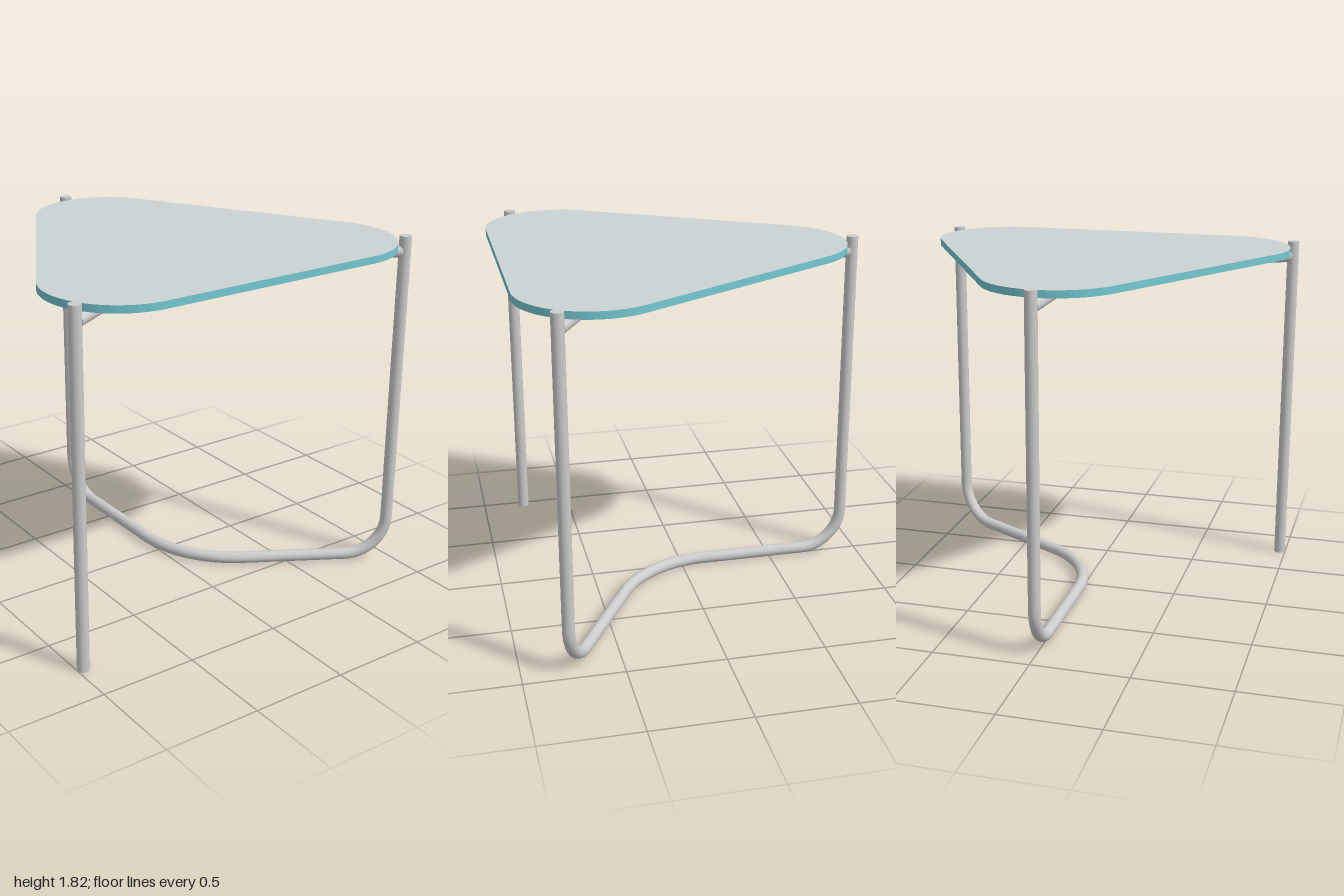
import * as THREE from 'three';
import { mergeGeometries, toCreasedNormals } from 'three/addons/utils/BufferGeometryUtils.js';

const R = 0.031;          // tube radius
const TOP = 1.815;        // height of the legs
const BAR = 1.733;        // height of the support bars
const CZ = 0.21;          // z of the triangle's centre
const V = (x, y, z) => new THREE.Vector3(x, y, z);

// Point at a distance from the table's centre along one of three spokes (0 back, 1 left, 2 right)
function spoke(i, d, y) {
  const a = (i * Math.PI * 2) / 3;
  return V(Math.sin(a) * d, y, CZ - Math.cos(a) * d);
}

// Circular bend at corner p, tangent to the lines towards a and b
class Bend extends THREE.Curve {
  constructor(a, p, b, radius) {
    super();
    const u = a.clone().sub(p).normalize(), w = b.clone().sub(p).normalize();
    const half = u.angleTo(w) / 2;
    const bis = u.clone().add(w).normalize();
    this.sweep = Math.PI - 2 * half;
    this.radius = radius;
    this.center = p.clone().addScaledVector(bis, radius / Math.sin(half));
    this.start = p.clone().addScaledVector(u, radius / Math.tan(half));
    this.e1 = this.start.clone().sub(this.center).normalize();
    this.e2 = u.clone().negate();
  }
  getPoint(t, target = V(0, 0, 0)) {
    const a = t * this.sweep;
    return target.copy(this.center)
      .addScaledVector(this.e1, Math.cos(a) * this.radius)
      .addScaledVector(this.e2, Math.sin(a) * this.radius);
  }
}

// Capped round tube through the points, bent by the given radius at each inner corner
function bentTube(name, points, radii, segments, material) {
  const path = new THREE.CurvePath();
  path.arcLengthDivisions = 1000;
  let from = points[0];
  for (let i = 1; i < points.length - 1; i++) {
    const bend = new Bend(points[i - 1], points[i], points[i + 1], radii[i - 1]);
    path.add(new THREE.LineCurve3(from, bend.getPoint(0)));
    path.add(bend);
    from = bend.getPoint(1);
  }
  const end = points[points.length - 1];
  path.add(new THREE.LineCurve3(from, end));

  const parts = [new THREE.TubeGeometry(path, segments, R, 24)];
  const ends = [[points[0], points[1]], [end, points[points.length - 2]]];
  for (const [p, inner] of ends) {
    const cap = new THREE.CircleGeometry(R, 24);
    const out = p.clone().sub(inner).normalize();
    cap.applyQuaternion(new THREE.Quaternion().setFromUnitVectors(V(0, 0, 1), out));
    parts.push(cap.translate(p.x, p.y, p.z));
  }
  const mesh = new THREE.Mesh(mergeGeometries(parts), material);
  mesh.name = name;
  return mesh;
}

// Rounded triangular plate
function tabletop() {
  const r = 0.375, d = 0.695;
  const shape = new THREE.Shape();
  for (let i = 0; i < 3; i++) {
    const a = Math.PI / 2 + (i * Math.PI * 2) / 3;
    shape.absarc(Math.cos(a) * d, Math.sin(a) * d, r, a - Math.PI / 3, a + Math.PI / 3, false);
  }
  const extruded = new THREE.ExtrudeGeometry(shape, { depth: 0.037, bevelEnabled: false, curveSegments: 32 });
  const geometry = toCreasedNormals(extruded, 0.6);
  geometry.rotateX(-Math.PI / 2).translate(0, 1.768, CZ);
  const mesh = new THREE.Mesh(geometry, [
    new THREE.MeshStandardMaterial({ color: 0xcbd2d4 }),
    new THREE.MeshStandardMaterial({ color: 0x74c8d2 }),
  ]);
  mesh.name = 'tabletop';
  return mesh;
}

export function createModel() {
  const group = new THREE.Group();
  const metal = new THREE.MeshStandardMaterial({ color: 0xcccccc });
  const legD = 1.118;

  group.add(tabletop());

  // One tube forms the back leg, the floor rail and the left leg
  group.add(bentTube('legFrame', [
    spoke(0, legD, TOP), spoke(0, legD, R), V(0, R, CZ), spoke(1, legD, R), spoke(1, legD, TOP),
  ], [0.22, 0.58, 0.22], 260, metal));

  // Free-standing right leg
  group.add(bentTube('rightLeg', [spoke(2, legD, 0), spoke(2, legD, TOP)], [], 1, metal));

  // Bent bar joining the right and back legs below the top
  group.add(bentTube('supportBar', [
    spoke(2, legD - 0.015, BAR), V(0, BAR, CZ), spoke(0, legD - 0.015, BAR),
  ], [0.58], 90, metal));

  // Short arm from the left leg
  group.add(bentTube('supportArm', [spoke(1, legD - 0.015, BAR), spoke(1, 0.49, BAR)], [], 1, metal));

  // Small pads between the bars and the top
  for (let i = 0; i < 3; i++) {
    const pad = new THREE.Mesh(new THREE.CylinderGeometry(0.026, 0.026, 0.03, 24), metal);
    pad.name = 'pad';
    pad.position.copy(spoke(i, 0.89, 1.753));
    group.add(pad);
  }
  return group;
}
